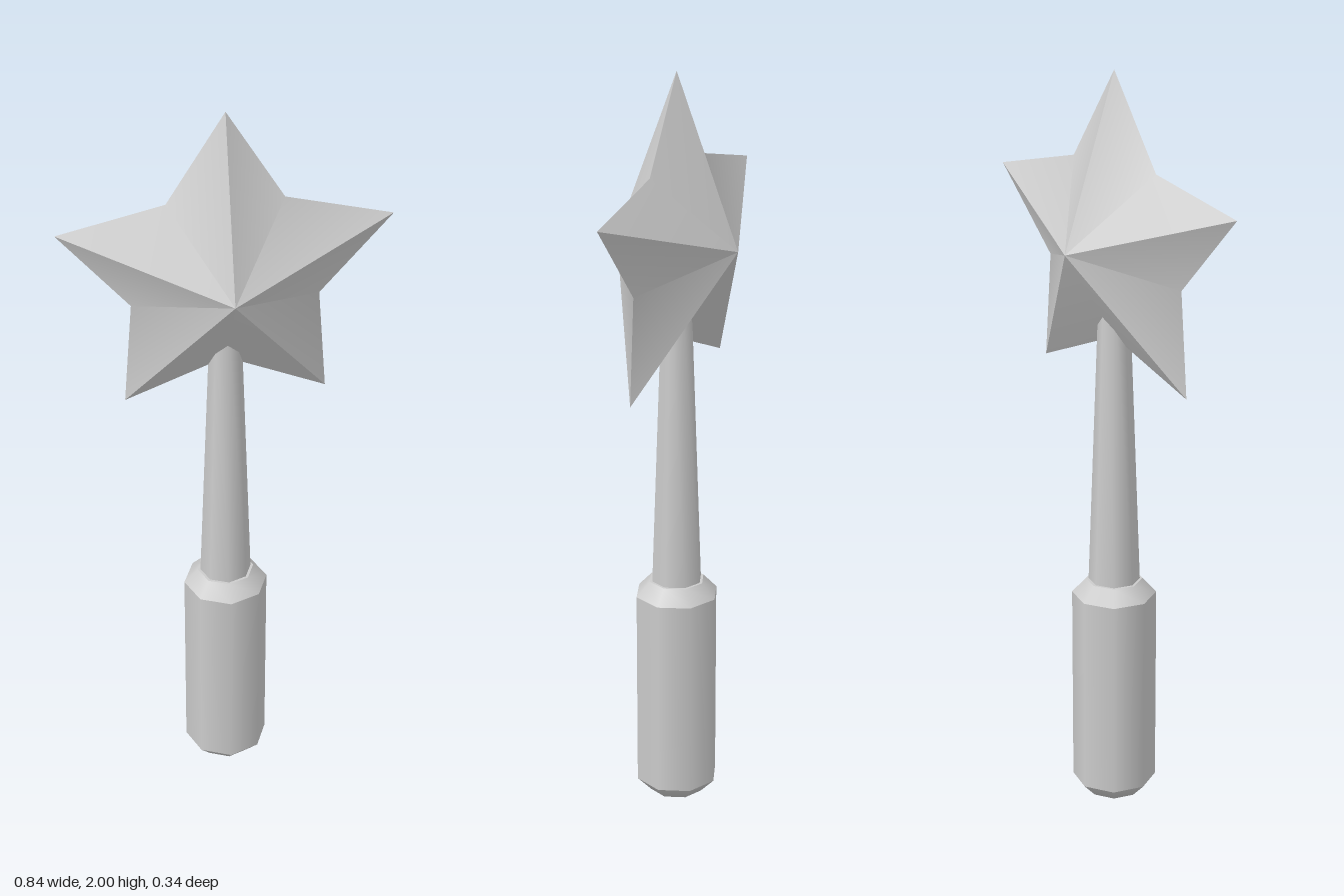
import * as THREE from 'three';
import { toCreasedNormals } from 'three/addons/utils/BufferGeometryUtils.js';

const SIDES = 8;

function createMaterial() {
  return new THREE.MeshStandardMaterial({ color: 0xcccccc });
}

// Eight-sided turned part from [radius, height] pairs, bottom to top
function turned(name, profile, material) {
  const points = profile.map(([r, y]) => new THREE.Vector2(r, y));
  const mesh = new THREE.Mesh(new THREE.LatheGeometry(points, SIDES), material);
  mesh.name = name;
  return mesh;
}

// Double pyramid over a five-pointed outline: sharp ridges, soft valleys
function starGeometry(outer, inner, depth) {
  const rim = [];
  for (let i = 0; i < 10; i++) {
    const a = (i * Math.PI) / 5;
    const r = i % 2 ? inner : outer;
    rim.push([Math.sin(a) * r, Math.cos(a) * r, 0]);
  }
  const positions = [];
  for (let i = 0; i < 10; i++) {
    const a = rim[i];
    const b = rim[(i + 1) % 10];
    positions.push(0, 0, depth, ...b, ...a);
    positions.push(0, 0, -depth, ...a, ...b);
  }
  const geometry = new THREE.BufferGeometry();
  geometry.setAttribute('position', new THREE.Float32BufferAttribute(positions, 3));
  return toCreasedNormals(geometry, 0.6);
}

export function createModel() {
  const group = new THREE.Group();
  group.name = 'starWand';
  const material = createMaterial();

  // Handle with bevelled ends
  const handle = new THREE.Group();
  handle.name = 'handle';
  handle.add(
    turned('handleBase', [[0, 0], [0.075, 0], [0.113, 0.04]], material),
    turned('handleGrip', [[0.113, 0.04], [0.113, 0.59]], material),
    turned('handleShoulder', [[0.113, 0.59], [0.076, 0.63]], material),
    turned('handleTop', [[0.076, 0.63], [0, 0.63]], material),
  );

  // Tapered shaft running up into the star
  const shaft = turned('shaft', [[0.069, 0.62], [0.038, 1.48]], material);

  // Star head
  const star = new THREE.Mesh(starGeometry(0.441, 0.25, 0.172), material);
  star.name = 'star';
  star.position.y = 1.559;

  group.add(handle, shaft, star);
  return group;
}
